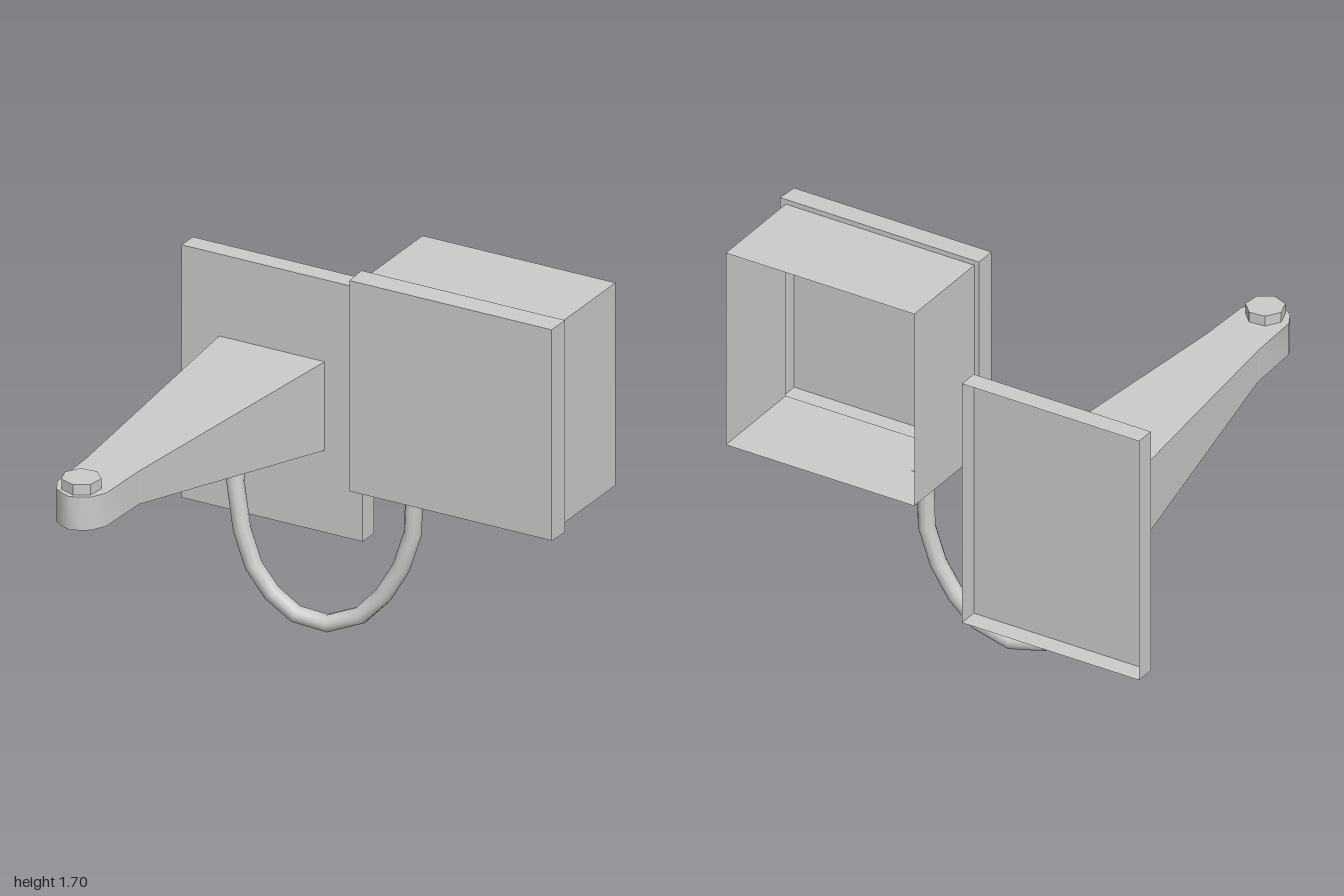
import * as THREE from 'three';
import { toCreasedNormals } from 'three/addons/utils/BufferGeometryUtils.js';

const flat = new THREE.MeshStandardMaterial({ color: 0xcccccc, side: THREE.DoubleSide, flatShading: true });
const smooth = new THREE.MeshStandardMaterial({ color: 0xcccccc, side: THREE.DoubleSide });

// Thin-walled box between two corners, keeping only its first faces
// (5 = open at the back, 4 = open at back and front)
function shell(min, max, faces) {
  const size = max.map((v, i) => v - min[i]);
  const geo = new THREE.BoxGeometry(...size);
  geo.setIndex(Array.from(geo.index.array).slice(0, faces * 6));
  return geo.translate(...min.map((v, i) => v + size[i] / 2));
}

// Four-sided loft along z; each station is [z, half width, bottom y]
function loft(stations, cx, top) {
  const pos = [], index = [];
  for (const [z, w, low] of stations) {
    pos.push(cx - w, low, z, cx + w, low, z, cx + w, top, z, cx - w, top, z);
  }
  for (let s = 0; s < stations.length - 1; s++) {
    for (let k = 0; k < 4; k++) {
      const a = s * 4 + k, b = s * 4 + (k + 1) % 4;
      index.push(a, b, b + 4, a, b + 4, a + 4);
    }
  }
  const geo = new THREE.BufferGeometry();
  geo.setAttribute('position', new THREE.Float32BufferAttribute(pos, 3));
  geo.setIndex(index);
  geo.computeVertexNormals();
  return geo;
}

export function createModel() {
  const group = new THREE.Group();
  const add = (name, geo, mat = flat) => {
    const mesh = new THREE.Mesh(geo, mat);
    mesh.name = name;
    group.add(mesh);
    return mesh;
  };

  // Wall plate, a shallow pan open at the back
  add('wallPlate', shell([-1, 0.3, -0.862], [-0.155, 1.425, -0.773], 5));

  // Tapering arm with a rounded nose
  const armX = -0.579;
  add('arm', loft([[-0.773, 0.246, 0.665], [0.51, 0.123, 0.912]], armX, 1.06));
  const nose = loft([[0.51, 0.123, 0.912], [0.76, 0.114, 0.912], [0.82, 0.082, 0.912],
    [0.845, 0.045, 0.912], [0.862, 0, 0.912]], armX, 1.06);
  add('armNose', toCreasedNormals(nose, 0.9), smooth);

  // Seven-sided cap on the nose
  const cap = add('noseCap', new THREE.CylinderGeometry(0.083, 0.083, 0.05, 7));
  cap.position.set(-0.58, 1.081, 0.76);
  cap.rotation.y = 0.1;

  // Junction box sleeve, open at both ends
  add('boxSleeve', shell([0.073, 0.777, -0.862], [0.973, 1.68, -0.408], 4));

  // Front cover, slightly narrower at its face
  const cover = shell([0.05, 0.756, -0.408], [1, 1.702, -0.308], 5);
  const p = cover.attributes.position;
  for (let i = 0; i < p.count; i++) {
    if (p.getZ(i) > -0.35) {
      p.setXY(i, 0.525 + (p.getX(i) - 0.525) * 0.992, 1.229 + (p.getY(i) - 1.229) * 0.992);
    }
  }
  add('boxCover', cover);

  // Rim joining sleeve and cover
  const rect = (path, x0, y0, x1, y1) =>
    path.moveTo(x0, y0).lineTo(x1, y0).lineTo(x1, y1).lineTo(x0, y1).closePath();
  const rim = rect(new THREE.Shape(), 0.05, 0.756, 1, 1.702);
  rim.holes.push(rect(new THREE.Path(), 0.073, 0.777, 0.973, 1.68));
  add('coverRim', new THREE.ShapeGeometry(rim).translate(0, 0, -0.408));

  // Hanging cable, one segment per point
  const points = [
    [-0.576, 0.70, -0.484], [-0.57, 0.60, -0.463], [-0.532, 0.40, -0.45], [-0.48, 0.25, -0.453],
    [-0.40, 0.14, -0.464], [-0.30, 0.062, -0.483], [-0.165, 0.041, -0.508], [-0.025, 0.1, -0.535],
    [0.07, 0.205, -0.553], [0.145, 0.34, -0.567], [0.193, 0.5, -0.577], [0.198, 0.75, -0.583],
  ].map((v) => new THREE.Vector3(...v));
  const curve = new THREE.CatmullRomCurve3(points);
  curve.getUtoTmapping = (u) => u;
  add('cable', new THREE.TubeGeometry(curve, points.length - 1, 0.037, 10), smooth);

  // Collars where the cable enters the arm and the box
  const collar = toCreasedNormals(new THREE.CylinderGeometry(0.06, 0.046, 0.055, 10), 0.8);
  const armCollar = add('armCollar', collar, smooth);
  armCollar.position.set(-0.576, 0.699, -0.484);
  armCollar.rotation.x = -0.19;
  add('boxCollar', collar, smooth).position.set(0.197, 0.752, -0.583);

  return group;
}
